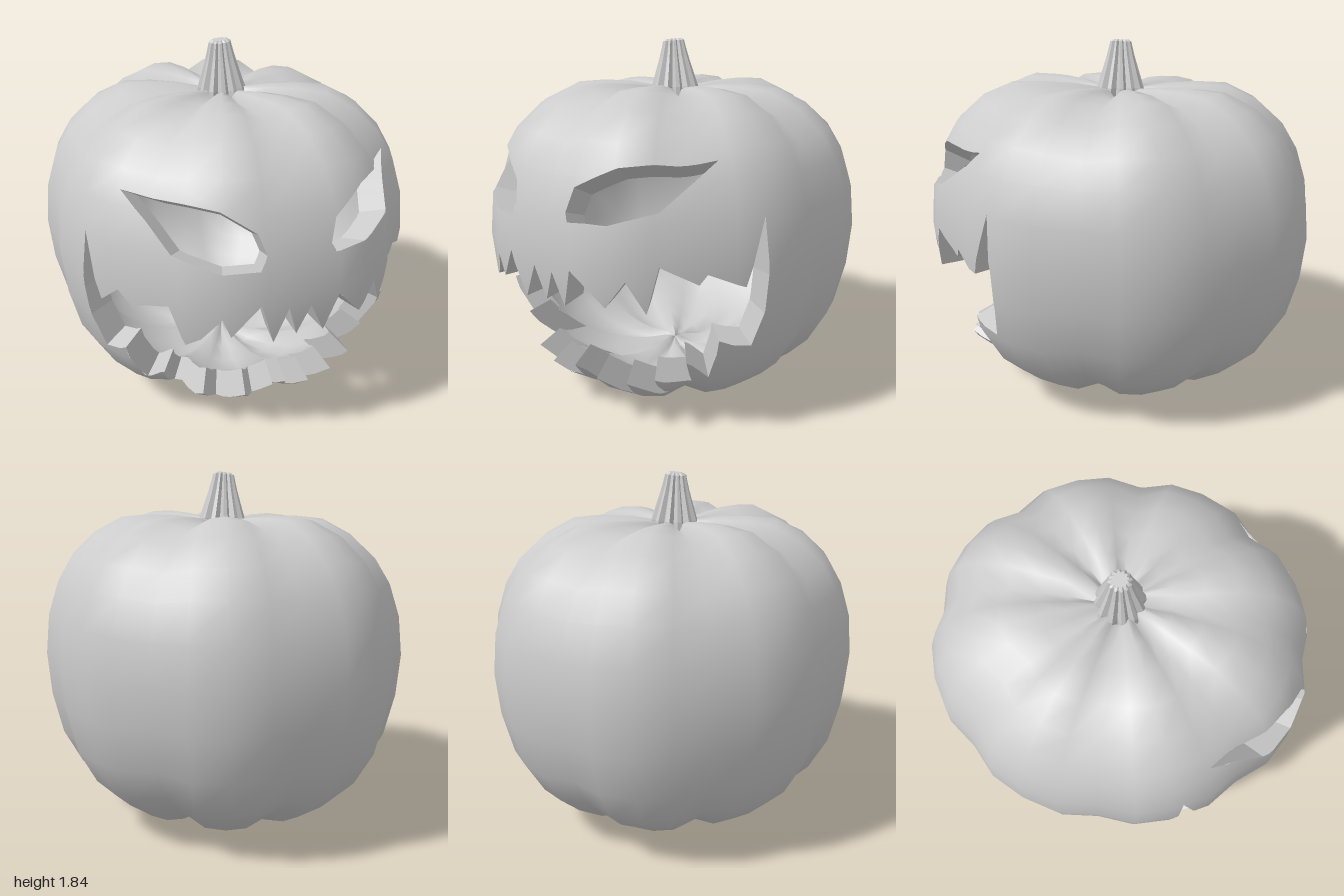
import * as THREE from 'three';

const CENTRE = 0.8;   // height of the point every cut aims at
const WALL = 0.86;    // inner shell size relative to the outer skin
const SEGS = 32;      // 8 lobes of 4 segments
const grey = (opts = {}) => new THREE.MeshStandardMaterial({ color: 0xcccccc, ...opts });

// Body profile from bottom to top: [radius, height]
const PROFILE = [
  [0, 0.05], [0.06, 0.01], [0.22, 0], [0.4, 0.02], [0.56, 0.075], [0.71, 0.18], [0.82, 0.285], [0.92, 0.46],
  [0.975, 0.68], [0.995, 0.9], [0.975, 1.11], [0.92, 1.29], [0.84, 1.43], [0.715, 1.55], [0.56, 1.625],
  [0.4, 1.63], [0.25, 1.62], [0.12, 1.6], [0, 1.55],
];

// Carved outlines on the skin, as seen from the front: [x, y]
const EYES = [
  [[-0.68, 1.34], [-0.56, 1.32], [-0.34, 1.32], [-0.2, 1.23], [-0.17, 1.14], [-0.2, 1.07], [-0.36, 1.06], [-0.54, 1.12]],
  [[0.64, 1.36], [0.52, 1.34], [0.34, 1.34], [0.17, 1.25], [0.14, 1.14], [0.16, 1.1], [0.33, 1.1], [0.52, 1.16]],
];
const UPPER_TEETH = [
  [-0.83, 1.12], [-0.8, 0.8], [-0.74, 0.89], [-0.69, 0.81], [-0.56, 0.87], [-0.5, 0.68], [-0.44, 0.72], [-0.36, 0.84],
  [-0.32, 0.74], [-0.2, 0.91], [-0.13, 0.69], [-0.06, 0.86], [-0.01, 0.7], [0.05, 0.85], [0.12, 0.7], [0.18, 0.89],
  [0.33, 0.73], [0.42, 0.86], [0.49, 0.71], [0.54, 0.93], [0.65, 0.83], [0.68, 0.88], [0.795, 0.81], [0.825, 1.12],
];
const LOWER_TEETH = [
  [0.85, 0.85], [0.83, 0.66], [0.775, 0.49], [0.69, 0.54], [0.59, 0.3], [0.55, 0.41], [0.49, 0.25], [0.43, 0.32],
  [0.36, 0.15], [0.3, 0.28], [0.22, 0.12], [0.15, 0.28], [0.09, 0.14], [0.05, 0.27], [0.01, 0.17], [-0.03, 0.28],
  [-0.09, 0.16], [-0.18, 0.26], [-0.25, 0.11], [-0.37, 0.26], [-0.42, 0.13], [-0.54, 0.38], [-0.59, 0.27],
  [-0.71, 0.53], [-0.775, 0.48], [-0.835, 0.66], [-0.855, 0.82],
];

// Uncut lobed skin, with the cutting centre at the origin
function skinGeometry() {
  const pos = [], index = [];
  for (const [r, y] of PROFILE) {
    const h = y - CENTRE;
    const pole = Math.abs(h / 0.8) ** 3;       // grooves are deeper and lobes rounder near the poles
    const depth = r > 0 ? 0.04 + 0.03 * pole : 0;
    for (let i = 0; i < SEGS; i++) {
      const a = (i / SEGS) * Math.PI * 2;
      const s = Math.abs((i % 4) - 2) / 2;     // 1 in a groove, 0 mid lobe
      const f = 1 - depth * s ** (4 - 1.5 * pole);
      const x = 0.948 * r * f * Math.sin(a), z = 1.03 * r * f * Math.cos(a);
      // The top tilts up to the front and drops a little to the sides
      pos.push(x, h * f + (h > 0 ? 0.025 * z * h - 0.08 * x * x * pole : 0), z);
    }
  }
  for (let j = 0; j < PROFILE.length - 1; j++) {
    for (let i = 0; i < SEGS; i++) {
      const a = j * SEGS + i, b = j * SEGS + (i + 1) % SEGS;
      if (j > 0) index.push(a, b, b + SEGS);
      if (j < PROFILE.length - 2) index.push(a, b + SEGS, a + SEGS);
    }
  }
  const g = new THREE.BufferGeometry();
  g.setAttribute('position', new THREE.Float32BufferAttribute(pos, 3));
  g.setIndex(index);
  g.computeVertexNormals();
  return g;
}

// Split a polygon of {p, n} corners by a plane through the origin
function split(poly, plane) {
  const inside = [], outside = [];
  poly.forEach((a, i) => {
    const b = poly[(i + 1) % poly.length];
    const da = plane.dot(a.p), db = plane.dot(b.p);
    (da > 0 ? inside : outside).push(a);
    if ((da > 0) !== (db > 0)) {
      const t = da / (da - db);
      const c = { p: a.p.clone().lerp(b.p, t), n: a.n.clone().lerp(b.n, t) };
      inside.push(c);
      outside.push(c);
    }
  });
  return [inside, outside];
}

// Remove a three-sided cone from a polygon, returning the pieces left
function subtract(poly, planes) {
  const pieces = [];
  let rest = poly;
  for (const plane of planes) {
    const [inside, outside] = split(rest, plane);
    if (inside.length < 3) return [poly];
    if (outside.length > 2) pieces.push(outside);
    rest = inside;
  }
  return pieces;
}

// Cut the cones out of the skin and return a flat list of corners
function carve(skin, cones) {
  const P = skin.attributes.position, N = skin.attributes.normal, idx = skin.index.array;
  const corners = [];
  for (let i = 0; i < idx.length; i += 3) {
    const tri = [0, 1, 2].map(k => ({
      p: new THREE.Vector3().fromBufferAttribute(P, idx[i + k]),
      n: new THREE.Vector3().fromBufferAttribute(N, idx[i + k]),
    }));
    let polys = [tri];
    if (tri.some(c => c.p.z > 0)) for (const cone of cones) polys = polys.flatMap(p => subtract(p, cone));
    for (const p of polys) for (let k = 1; k < p.length - 1; k++) corners.push(p[0], p[k], p[k + 1]);
  }
  return corners;
}

function shellGeometry(corners, scale, flip) {
  const list = flip ? corners.slice().reverse() : corners;
  const g = new THREE.BufferGeometry();
  g.setAttribute('position', new THREE.Float32BufferAttribute(list.flatMap(c => c.p.clone().multiplyScalar(scale).toArray()), 3));
  g.setAttribute('normal', new THREE.Float32BufferAttribute(
    list.flatMap(c => c.n.clone().normalize().multiplyScalar(flip ? -1 : 1).toArray()), 3));
  return g;
}

// Stem with twelve flat-topped ribs that narrows and leans a little
function stemGeometry() {
  const rings = [[0.13, 1.53], [0.122, 1.6], [0.1, 1.67], [0.075, 1.75], [0.062, 1.8], [0.055, 1.83], [0.04, 1.84], [0, 1.84]];
  const g = new THREE.CylinderGeometry(1, 1, 1, 36, rings.length - 1, true);
  const p = g.attributes.position;
  for (let i = 0; i < p.count; i++) {
    const [r, y] = rings[rings.length - 1 - Math.floor(i / 37)];
    const rr = r * (i % 37 % 3 ? 1 : 0.8), lean = (y - 1.53) / 0.31;
    p.setXYZ(i, p.getX(i) * rr - 0.012 * lean, y + 0.1 * p.getX(i) * rr * lean, p.getZ(i) * rr);
  }
  return g;
}

export function createModel() {
  const group = new THREE.Group();
  const add = (name, geometry, material, y = CENTRE) => {
    const m = new THREE.Mesh(geometry, material);
    m.name = name;
    m.position.y = y;
    group.add(m);
  };

  const skin = skinGeometry();
  const target = new THREE.Mesh(skin, grey({ side: THREE.DoubleSide }));
  const hit = (from, dir) => new THREE.Raycaster(from, dir.normalize()).intersectObject(target)[0]?.point;
  const onFront = ([x, y]) => {
    for (let s = 1; s > 0.7; s -= 0.02) {
      const p = hit(new THREE.Vector3(x * s, y - CENTRE, 5), new THREE.Vector3(0, 0, -1));
      if (p && p.z > 0.1) return p;
    }
    return new THREE.Vector3(x, y - CENTRE, 0.3);
  };

  const cones = [];
  const openings = { leftEyeWall: EYES[1], rightEyeWall: EYES[0], mouthWall: [...UPPER_TEETH, ...LOWER_TEETH] };
  for (const [name, outline] of Object.entries(openings)) {
    const pts = outline.map(onFront);

    // Cones that remove the opening
    const flat = pts.map(p => new THREE.Vector2(p.x / p.z, p.y / p.z));
    for (const tri of THREE.ShapeUtils.triangulateShape(flat, [])) {
      const [a, b, c] = tri.map(i => pts[i]);
      const sign = Math.sign(a.clone().cross(b).dot(c));
      if (sign) cones.push([[a, b], [b, c], [c, a]].map(([u, v]) => u.clone().cross(v).multiplyScalar(sign)));
    }

    // Cut wall from the outer skin to the inner shell
    const rim = pts.flatMap((a, i) => [0, 0.25, 0.5, 0.75].map(t => {
      const d = a.clone().lerp(pts[(i + 1) % pts.length], t);
      return hit(new THREE.Vector3(), d.clone()) ?? d;
    }));
    const wall = rim.flatMap((a, i) => {
      const b = rim[(i + 1) % rim.length];
      const c = b.clone().multiplyScalar(WALL), d = a.clone().multiplyScalar(WALL);
      return [a, b, c, a, c, d].flatMap(v => v.toArray());
    });
    const g = new THREE.BufferGeometry();
    g.setAttribute('position', new THREE.Float32BufferAttribute(wall, 3));
    g.computeVertexNormals();
    add(name, g, grey({ side: THREE.DoubleSide, flatShading: true }));
  }

  const corners = carve(skin, cones);
  add('outerSkin', shellGeometry(corners, 1, false), grey());
  add('innerShell', shellGeometry(corners, WALL, true), grey());
  add('stem', stemGeometry(), grey({ flatShading: true }), 0);
  return group;
}
